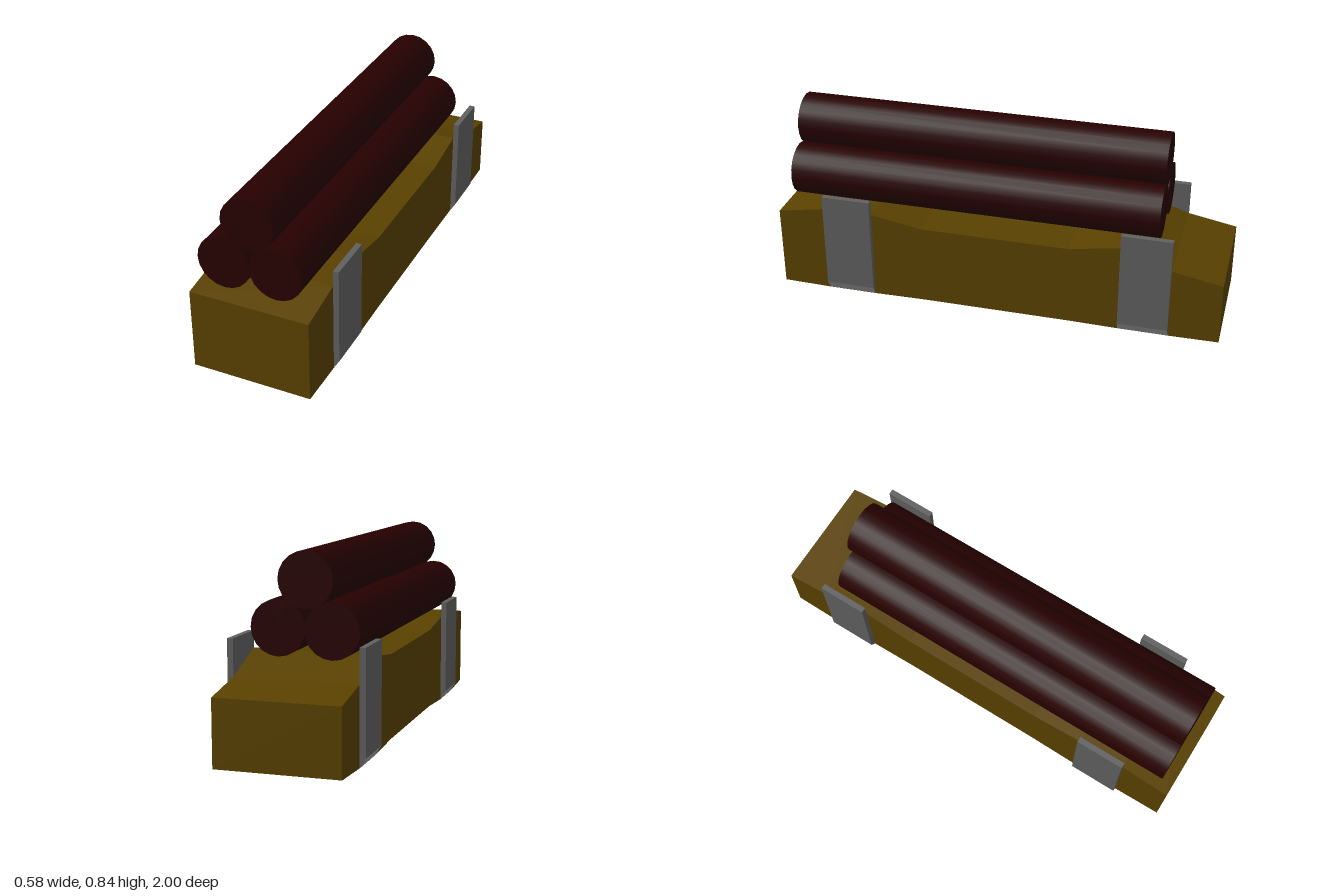
import * as THREE from 'three';

const mat = (name, color) => {
  const m = new THREE.MeshStandardMaterial({ color });
  m.name = name;
  return m;
};

export function createModel() {
  const model = new THREE.Group();
  model.name = 'logCarrier';

  const brown = mat('ochreBrown', 0x594100);
  const grey = mat('steelGrey', 0x606060);
  const lightGrey = mat('lightGrey', 0x9c9c9c);
  const red = mat('darkRedBark', 0x270000);

  const add = (name, geometry, material) => {
    const mesh = new THREE.Mesh(geometry, material);
    mesh.name = name;
    model.add(mesh);
    return mesh;
  };

  // Flat-shaded mesh from a list of quads, corners counter-clockwise
  const quads = (list) => {
    const p = [];
    for (const [a, b, c, d] of list) p.push(...a, ...b, ...c, ...a, ...c, ...d);
    const g = new THREE.BufferGeometry();
    g.setAttribute('position', new THREE.Float32BufferAttribute(p, 3));
    g.computeVertexNormals();
    return g;
  };

  // Body cross-sections: z, top at -x and +x, bottom at -x and +x
  const W = 0.263;
  const sections = [
    [-1, 0.295, 0.295, 0.013, 0.013],
    [-0.78, 0.335, 0.335, 0.002, 0.01],
    [-0.56, 0.409, 0.417, 0.001, 0.01],
    [-0.33, 0.378, 0.378, 0.013, 0.013],
    [0.33, 0.378, 0.378, 0.013, 0.013],
    [0.56, 0.409, 0.417, 0, 0.009],
    [0.78, 0.409, 0.417, 0, 0.009],
    [1, 0.378, 0.378, 0.013, 0.013],
  ];
  // Ring order: bottom -x, bottom +x, top +x, top -x
  const rings = sections.map(([z, tl, tr, bl, br]) => [
    [-W, bl, z], [W, br, z], [W, tr, z], [-W, tl, z],
  ]);
  const shell = [], floorEnds = [], floorMiddle = [];
  for (let i = 0; i < rings.length - 1; i++) {
    const a = rings[i], b = rings[i + 1];
    for (let k = 0; k < 4; k++) {
      const n = (k + 1) % 4;
      const target = k > 0 ? shell : i === 3 ? floorMiddle : floorEnds;
      target.push([a[k], a[n], b[n], b[k]]);
    }
  }
  shell.push(rings[rings.length - 1], [...rings[0]].reverse());
  add('body', quads(shell), brown);
  add('undersideEnds', quads(floorEnds), lightGrey);
  add('undersideMiddle', quads(floorMiddle), grey);

  // Upright side stakes, each a plate above a chamfered foot with a pale sloping face
  const OUT = 0.288;
  const prism = (points, z) => {
    const shape = new THREE.Shape(points.map(([x, y]) => new THREE.Vector2(x, y)));
    const g = new THREE.ExtrudeGeometry(shape, { depth: 0.22, bevelEnabled: false });
    return g.translate(0, 0, z - 0.11);
  };
  for (const s of [-1, 1]) {
    const base = s > 0 ? 0.01 : 0.001;
    const bend = base + 0.041, top = base + 0.479;
    for (const z of [-0.67, 0.67]) {
      const label = (s > 0 ? 'left' : 'right') + (z > 0 ? 'Front' : 'Rear');
      const plate = [[s * W, bend], [s * OUT, bend], [s * OUT, top], [s * W, top]];
      const foot = [[s * W, base], [s * OUT, bend], [s * W, bend]];
      add(label + 'Stake', prism(plate, z), grey);
      add(label + 'StakeFoot', prism(foot, z), [grey, lightGrey]);
    }
  }

  // Stack of three logs
  const logs = [
    ['lowerRightLog', -0.128, 0.524],
    ['lowerLeftLog', 0.099, 0.529],
    ['upperLog', -0.017, 0.724],
  ];
  for (const [name, x, y] of logs) {
    const g = new THREE.CylinderGeometry(0.116, 0.116, 1.66, 20);
    g.rotateX(Math.PI / 2);
    add(name, g, red).position.set(x, y, 0.12);
  }

  return model;
}
